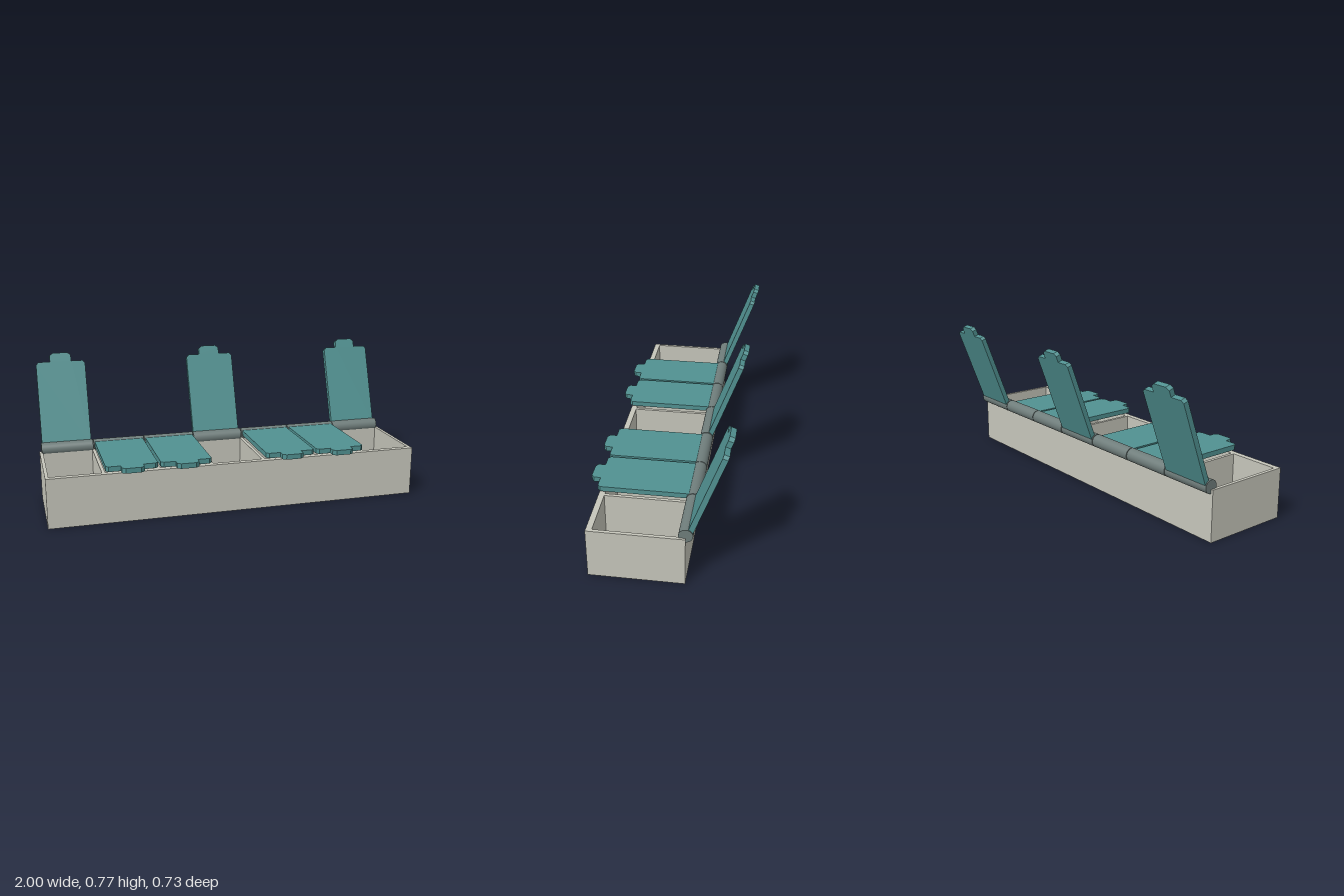
import * as THREE from 'three';

const COUNT = 7;
const PITCH = 2 / COUNT * 0.991;
const BOX = { height: 0.265, back: -0.16, front: 0.312, floor: 0.025, wall: 0.03 };
const HINGE = { y: 0.278, z: -0.16, radius: 0.035, length: 0.279 };
const LID = { width: 0.268, length: 0.479, tabWidth: 0.116, tabEnd: 0.527, thickness: 0.027, chamfer: 0.014 };
const OPEN_ANGLE = -110 * Math.PI / 180;

function polygon(target, points) {
  points.forEach(([x, y], i) => (i ? target.lineTo(x, y) : target.moveTo(x, y)));
  target.closePath();
  return target;
}

// Flat shape extruded upward; shape y becomes -z
function slab(shape, height) {
  return new THREE.ExtrudeGeometry(shape, { depth: height, bevelEnabled: false }).rotateX(-Math.PI / 2);
}

const rect = (x0, x1, z0, z1) => [[x0, -z1], [x1, -z1], [x1, -z0], [x0, -z0]];

// Lid outline: a panel with a finger tab, both with clipped corners
function lidGeometry() {
  const w = LID.width / 2, t = LID.tabWidth / 2, c = LID.chamfer;
  const half = [
    [w, 0], [w, -LID.length + c], [w - c, -LID.length],
    [t, -LID.length], [t, -LID.tabEnd + c], [t - c * 1.3, -LID.tabEnd],
  ];
  const mirrored = half.map(([x, y]) => [-x, y]).reverse();
  return slab(polygon(new THREE.Shape(), [...half, ...mirrored]), LID.thickness);
}

export function createModel() {
  const model = new THREE.Group();
  const boxMaterial = new THREE.MeshStandardMaterial({ color: 0xc6c6bb });
  boxMaterial.name = 'warm grey plastic';
  const lidMaterial = new THREE.MeshStandardMaterial({ color: 0x519191 });
  lidMaterial.name = 'teal plastic';
  const hingeMaterial = new THREE.MeshStandardMaterial({ color: 0x6f7d7b });
  hingeMaterial.name = 'dark grey hinge';

  const add = (parent, name, geometry, material) => {
    const mesh = new THREE.Mesh(geometry, material);
    mesh.name = name;
    parent.add(mesh);
    return mesh;
  };

  // Tray with seven open compartments
  const outline = polygon(new THREE.Shape(), rect(-1, 1, BOX.back, BOX.front));
  for (let i = 0; i < COUNT; i++) {
    const x = (i - 3) * PITCH;
    outline.holes.push(polygon(new THREE.Path(),
      rect(x - 0.133, x + 0.133, BOX.back + BOX.wall, BOX.front - BOX.wall)));
  }
  const walls = add(model, 'compartmentWalls', slab(outline, BOX.height - BOX.floor), boxMaterial);
  walls.position.y = BOX.floor;
  const depth = BOX.front - BOX.back;
  const floor = add(model, 'trayFloor', new THREE.BoxGeometry(2, BOX.floor, depth), boxMaterial);
  floor.position.set(0, BOX.floor / 2, (BOX.front + BOX.back) / 2);

  // Lids with hinge barrels; the first, middle and last stand open
  const lidShape = lidGeometry();
  const barrel = new THREE.CylinderGeometry(HINGE.radius, HINGE.radius, HINGE.length, 32).rotateZ(Math.PI / 2);
  for (let i = 0; i < COUNT; i++) {
    const unit = new THREE.Group();
    unit.name = `lidUnit${i + 1}`;
    unit.position.set((i - 3) * PITCH, HINGE.y, HINGE.z);
    add(unit, 'hingeBarrel', barrel, hingeMaterial);
    const lid = add(unit, 'lid', lidShape, lidMaterial);
    if (i % 3 === 0) lid.rotation.x = OPEN_ANGLE;
    model.add(unit);
  }
  return model;
}
